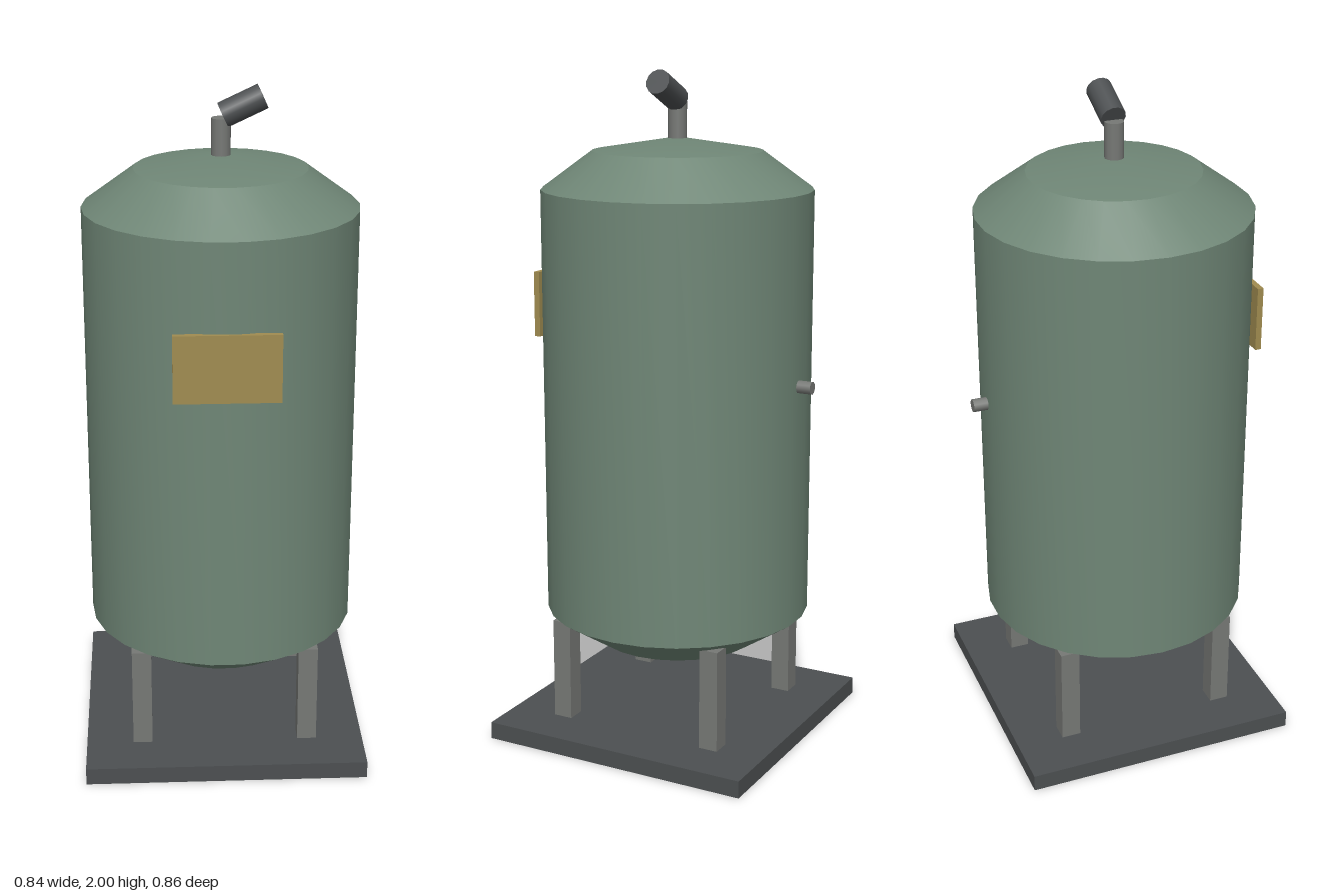
import * as THREE from 'three';
import { toCreasedNormals } from 'three/addons/utils/BufferGeometryUtils.js';

const material = (name, color) => {
  const m = new THREE.MeshStandardMaterial({ color });
  m.name = name;
  return m;
};

export function createModel() {
  const green = material('tank green', 0x6f8676);
  const steel = material('steel grey', 0x767875);
  const dark = material('dark grey', 0x4c4f51);
  const brass = material('brass', 0xa08c50);

  const model = new THREE.Group();
  model.name = 'pressureTank';
  // Everything sits on the tank axis; the rear outlet shifts it slightly forward
  const cz = 0.009;

  const add = (name, geometry, mat, x, y, z) => {
    const mesh = new THREE.Mesh(geometry, mat);
    mesh.name = name;
    mesh.position.set(x, y, z + cz);
    model.add(mesh);
    return mesh;
  };

  // Tank with conical shoulders and shallow caps
  const profile = [
    [0, 0.255], [0.25, 0.285], [0.4, 0.383],
    [0.4, 1.657], [0.25, 1.767], [0, 1.807],
  ].map(([r, y]) => new THREE.Vector2(r, y));
  const tank = toCreasedNormals(new THREE.LatheGeometry(profile, 26), 0.36);
  add('tank', tank, green, 0, 0, 0).rotation.y = Math.PI / 2;

  // Base plate and four legs
  add('basePlate', new THREE.BoxGeometry(0.84, 0.052, 0.84), dark, 0, 0.026, 0);
  for (const sx of [-1, 1]) {
    for (const sz of [-1, 1]) {
      add('leg', new THREE.BoxGeometry(0.058, 0.315, 0.058), steel, sx * 0.25, 0.2025, sz * 0.25);
    }
  }

  // Front label plate
  add('labelPlate', new THREE.BoxGeometry(0.3, 0.196, 0.018), brass, 0, 1.303, 0.399);

  // Top valve: upright stem and tilted head
  add('valveStem', new THREE.CylinderGeometry(0.028, 0.028, 0.115, 12), steel, 0, 1.85, 0);
  const head = add('valveHead', new THREE.CylinderGeometry(0.037, 0.037, 0.124, 14), dark, 0.062, 1.941, 0);
  head.rotation.z = THREE.MathUtils.degToRad(-65);

  // Rear outlet
  const outlet = add('rearOutlet', new THREE.CylinderGeometry(0.019, 0.019, 0.08, 12), steel, 0, 1.105, -0.4);
  outlet.rotation.x = Math.PI / 2;

  return model;
}
